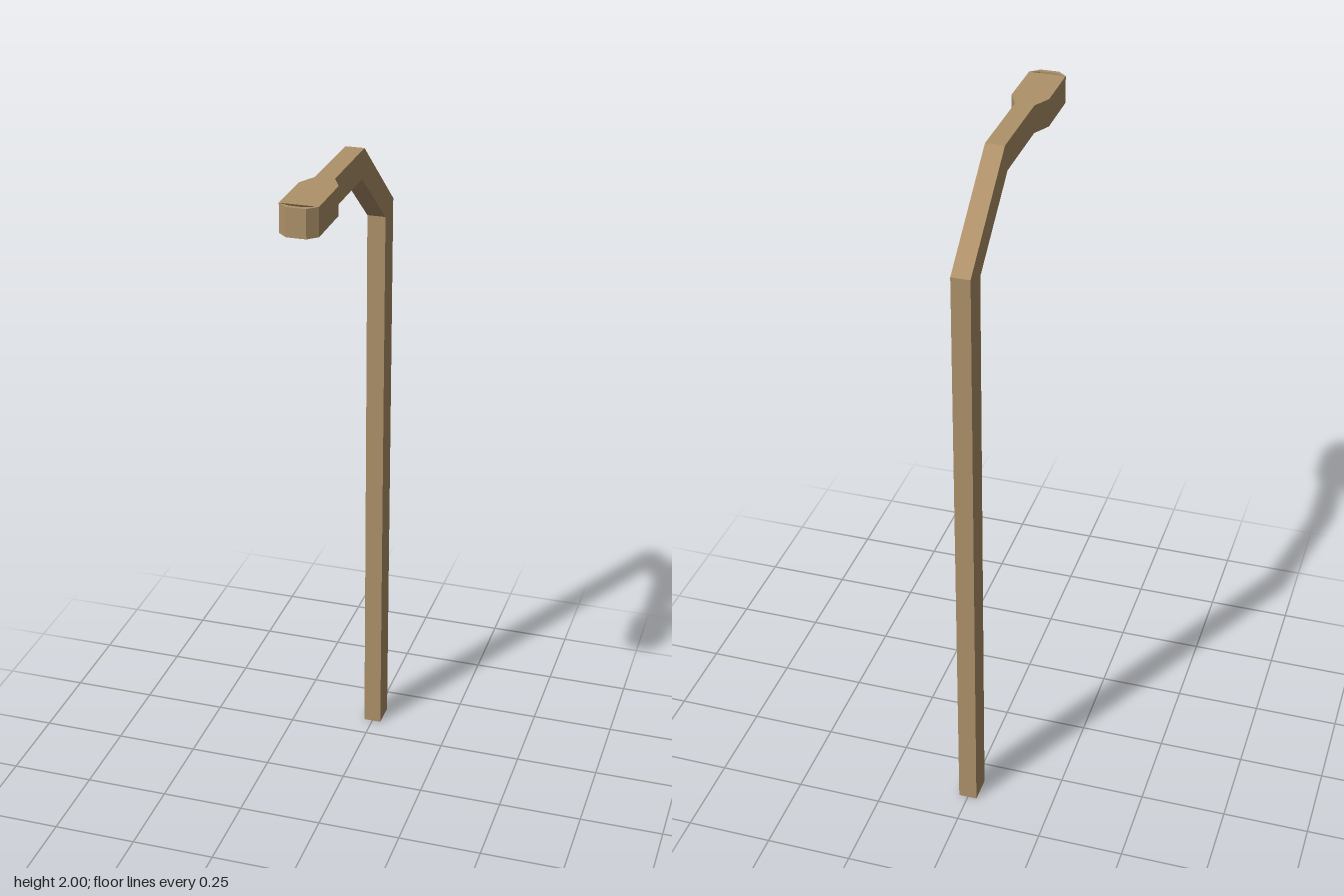
import * as THREE from 'three';

export function createModel() {
  const model = new THREE.Group();
  const bronze = new THREE.MeshStandardMaterial({ name: 'bronze', color: 0xae9169, side: THREE.DoubleSide, flatShading: true });
  const amber = new THREE.MeshStandardMaterial({ name: 'amber lens', color: 0xae8a38, side: THREE.DoubleSide, flatShading: true });

  function add(name, geometry, material = bronze) {
    const mesh = new THREE.Mesh(geometry, material);
    mesh.name = name;
    model.add(mesh);
    return mesh;
  }

  // Joins rectangular rings [half width, outer z, outer y, inner z, inner y].
  // sides: 0 outer, 1 left, 2 inner, 3 right
  function duct(rings, sides = [0, 1, 2, 3]) {
    const loops = rings.map(([w, oz, oy, iz, iy]) => [[-w, oy, oz], [w, oy, oz], [w, iy, iz], [-w, iy, iz]]);
    const position = [];
    for (let i = 0; i < loops.length - 1; i++) {
      for (const s of sides) {
        const t = (s + 1) % 4;
        const [a, b, c, d] = [loops[i][s], loops[i][t], loops[i + 1][t], loops[i + 1][s]];
        position.push(...a, ...c, ...b, ...a, ...d, ...c);
      }
    }
    const g = new THREE.BufferGeometry();
    g.setAttribute('position', new THREE.Float32BufferAttribute(position, 3));
    g.computeVertexNormals();
    return g;
  }

  // Flat plate from [x, z] outline points, facing down.
  function plate(points, y) {
    const shape = new THREE.Shape(points.map(([x, z]) => new THREE.Vector2(x, z)));
    return new THREE.ShapeGeometry(shape).rotateX(Math.PI / 2).translate(0, y, 0);
  }

  const top = 2, low = 1.92;
  const level = (w, z) => [w, z, top, z, low];

  // Open-footed pole, bend and arm
  const joint = level(0.027, 0.16);
  const neck = level(0.0397, 0.185);
  add('poleAndArm', duct([
    [0.027, -0.403, 0, -0.323, 0],
    [0.027, -0.403, 1.76, -0.323, 1.73],
    [0.027, -0.108, top, -0.085, low],
    joint,
  ]));

  // Flared lamp head with open underside
  add('headNeck', duct([joint, neck]));
  add('headShell', duct([neck, level(0.053, 0.213), level(0.053, 0.378)], [0, 1, 3]));

  // Underside borders beside the lens
  for (const s of [-1, 1]) {
    add(s > 0 ? 'leftLensBorder' : 'rightLensBorder', plate(
      [[0.0397, 0.185], [0.053, 0.213], [0.053, 0.378], [0.042, 0.378], [0.042, 0.19]]
        .map(([x, z]) => [s * x, z]), low));
  }

  // Chamfered nose walls
  add('noseWalls', duct([level(0.053, 0.378), level(0.027, 0.403)], [1, 3]));
  const front = new THREE.PlaneGeometry(0.054, top - low);
  add('noseFront', front).position.set(0, (top + low) / 2, 0.403);

  // Narrow rim around the nose opening, top and bottom
  const rim = [[-0.053, 0.378], [-0.027, 0.403], [0.027, 0.403], [0.053, 0.378],
    [0.025, 0.389], [0, 0.392], [-0.025, 0.389]];
  const upper = plate(rim, 0);
  upper.rotateZ(Math.PI).translate(0, top, 0);
  add('noseUpperRim', upper);
  add('noseLowerRim', plate(rim, low));

  // Lens set slightly into the head
  add('lens', plate([[-0.022, 0.185], [0.022, 0.185], [0.042, 0.205], [0.042, 0.37],
    [0.022, 0.389], [-0.022, 0.389], [-0.042, 0.37], [-0.042, 0.205]], low + 0.003), amber);

  return model;
}
